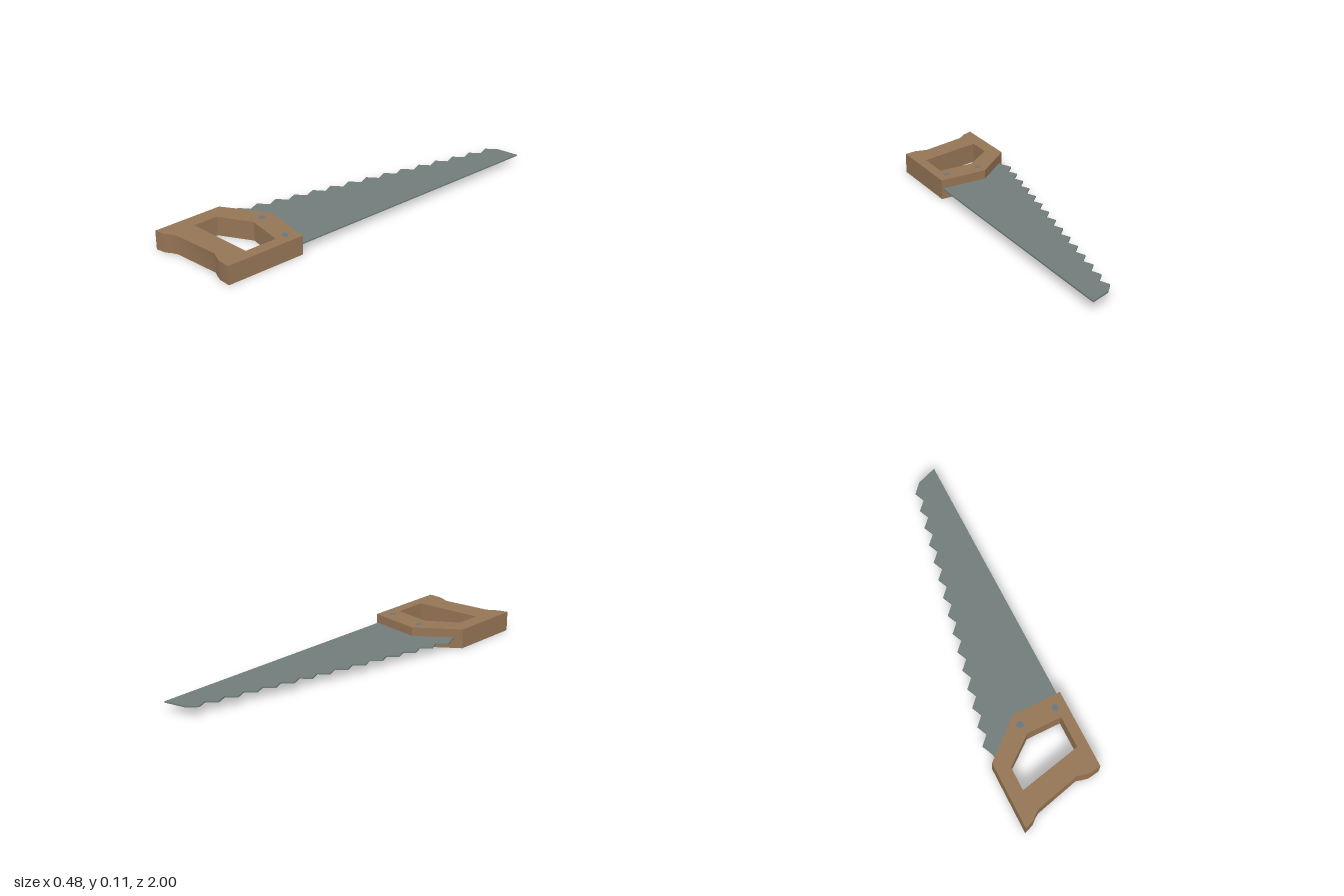
import * as THREE from 'three';
import { toCreasedNormals } from 'three/addons/utils/BufferGeometryUtils.js';

const material = (name, color) => {
  const m = new THREE.MeshStandardMaterial({ color });
  m.name = name;
  return m;
};

// Outlines are [x, z] pairs seen from above
const toPoints = (list) => list.map(([x, z]) => new THREE.Vector2(x, -z));

// Upright extrusion of an outline; it runs counter-clockwise, its holes clockwise
function plate(name, outline, holes, bottom, height, mat) {
  const shape = new THREE.Shape(toPoints(outline).reverse());
  shape.holes = holes.map((hole) => new THREE.Path(toPoints(hole)));
  const geo = new THREE.ExtrudeGeometry(shape, { depth: height, bevelEnabled: false });
  geo.rotateX(-Math.PI / 2);
  geo.translate(0, bottom, 0);
  const mesh = new THREE.Mesh(toCreasedNormals(geo, 0.55), mat);
  mesh.name = name;
  return mesh;
}

export function createModel() {
  const wood = material('wood', 0x967556);
  const steel = material('steel', 0x717d7c);
  const rivetMetal = material('rivetMetal', 0x667880);

  const saw = new THREE.Group();
  saw.name = 'handSaw';

  // Wooden grip with a hand opening and a softly waved rear edge
  const grip = [
    [-0.238, 0.63], [-0.03, 0.452], [0.238, 0.452], [0.238, 0.885], [0.175, 0.894],
    [0.145, 0.888], [0.11, 0.878], [-0.135, 0.94], [-0.16, 0.956], [-0.187, 0.98], [-0.238, 1],
  ];
  const opening = [[-0.163, 0.692], [-0.01, 0.573], [0.181, 0.573], [0.181, 0.746], [-0.163, 0.822]];
  saw.add(plate('handle', grip, [opening], 0, 0.11, wood));

  // Tapering blade: straight back, sloping nose, row of teeth
  const blade = [[-0.2, 0.62], [-0.02, 0.5], [0.229, 0.5], [0.229, -1], [0.12, -0.96]];
  for (let i = 14; i >= 0; i--) {
    blade.push([-0.236 + i * 0.0221, 0.52 - i * 0.102]);
    blade.push([-0.211 + i * 0.022, 0.574 - i * 0.102]);
  }
  saw.add(plate('blade', blade, [], 0.053, 0.008, steel));

  // Rivets set almost flush in the top of the handle
  for (const x of [-0.022, 0.178]) {
    const rivet = new THREE.Mesh(new THREE.CylinderGeometry(0.018, 0.018, 0.04, 16), rivetMetal);
    rivet.position.set(x, 0.0903, 0.515);
    rivet.name = 'rivet';
    saw.add(rivet);
  }
  return saw;
}
